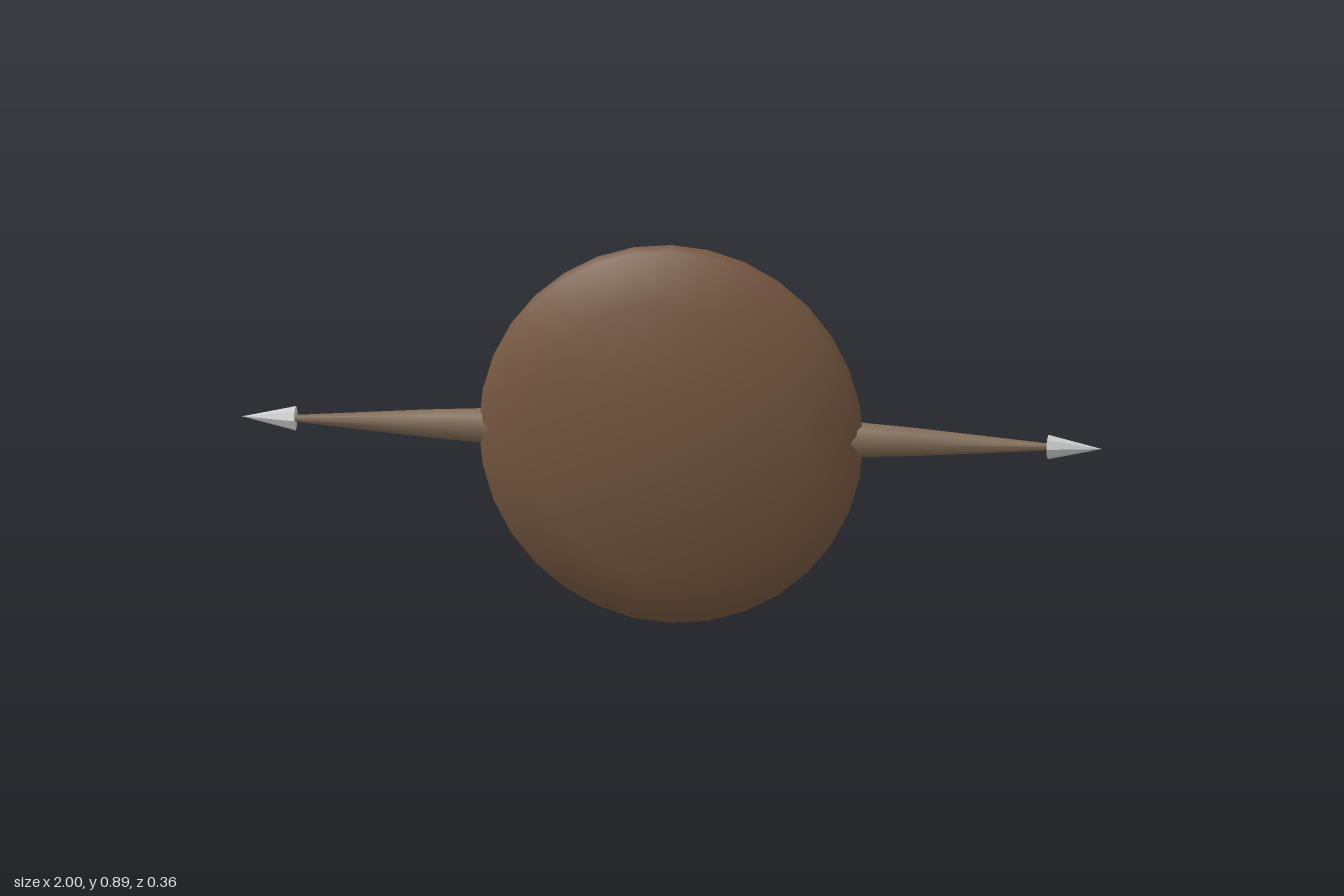
import * as THREE from 'three';
import { toCreasedNormals } from 'three/addons/utils/BufferGeometryUtils.js';

const CY = 0.447; // height of the shield centre
const points = (list) => list.map(([x, y]) => new THREE.Vector2(x, y));

export function createModel() {
  const model = new THREE.Group();
  const leather = new THREE.MeshStandardMaterial({ color: 0x74563f });
  const wood = new THREE.MeshStandardMaterial({ color: 0x7f6a55 });
  const metal = new THREE.MeshStandardMaterial({ color: 0xcccccc, flatShading: true });

  const add = (name, geometry, material, x = 0, y = CY, z = 0) => {
    const mesh = new THREE.Mesh(geometry, material);
    mesh.name = name;
    mesh.position.set(x, y, z);
    model.add(mesh);
    return mesh;
  };

  // Domed disc with a bevelled rim, turned around z
  const disc = new THREE.LatheGeometry(points([
    [0, 0.038], [0.2, 0.038], [0.43, 0.047], [0.447, 0.077],
    [0.436, 0.098], [0.32, 0.15], [0.13, 0.181], [0, 0.183],
  ]), 32).rotateX(Math.PI / 2);
  add('shieldDisc', toCreasedNormals(disc, 0.82), leather);

  // Octagonal shaft along x, bowed slightly backwards in the middle
  const half = [[0.008, 0.88], [0.033, 0.57], [0.041, 0.44], [0.042, 0.2]];
  const shaft = new THREE.LatheGeometry(points([
    ...half.map(([r, x]) => [r, -x]),
    [0.042, 0],
    ...half.slice().reverse(),
  ]), 8).rotateZ(-Math.PI / 2);
  const pos = shaft.attributes.position;
  for (let i = 0; i < pos.count; i++) {
    const t = Math.min(1, Math.abs(pos.getX(i)) / 0.44);
    pos.setZ(i, pos.getZ(i) + 0.056 + 0.008 * t);
  }
  shaft.computeVertexNormals();
  add('spearShaft', toCreasedNormals(shaft, 0.9), wood);

  // Metal points at both ends
  for (const side of [1, -1]) {
    const tip = new THREE.ConeGeometry(0.029, 0.125, 8).rotateZ(-side * Math.PI / 2);
    add(side > 0 ? 'leftSpearTip' : 'rightSpearTip', tip, metal, side * 0.9375, CY, 0.064);
  }

  // Arm strap: a chamfered plate set apart behind the disc
  const section = new THREE.Shape(points([
    [-0.011, -0.082], [0.011, -0.082], [0.019, -0.045], [0.019, 0.045],
    [0.011, 0.082], [-0.011, 0.082], [-0.019, 0.045], [-0.019, -0.045],
  ]));
  const strap = new THREE.ExtrudeGeometry(section, { depth: 0.446, bevelEnabled: false })
    .translate(0, 0, -0.223).rotateY(-Math.PI / 2);
  add('armStrap', strap, leather, 0, CY + 0.003, -0.151);

  // Upright grip through the middle of the strap
  add('handGrip', new THREE.CylinderGeometry(0.036, 0.036, 0.222, 16), leather, 0, CY + 0.003, -0.145);

  return model;
}
